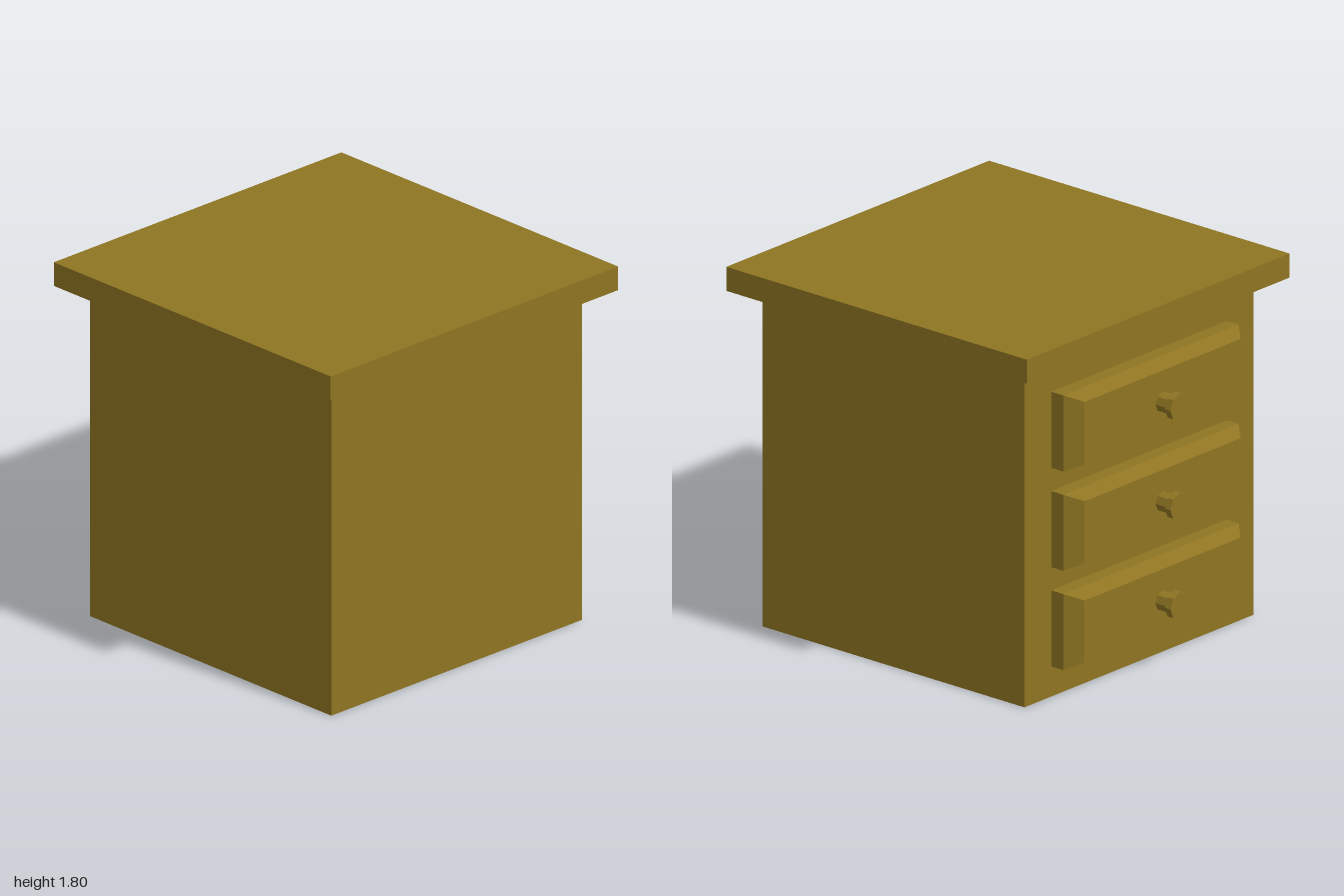
import * as THREE from 'three';

const wood = new THREE.MeshStandardMaterial({ color: 0x8f7522, flatShading: true });

// Box whose horizontal rows follow tiers of [height, halfWidth, halfDepth]
function tieredBox(tiers) {
  const n = tiers.length - 1;
  const geo = new THREE.BoxGeometry(2, n, 2, 1, n, 1);
  const pos = geo.attributes.position;
  for (let i = 0; i < pos.count; i++) {
    const [h, hw, hd] = tiers[Math.round(pos.getY(i) + n / 2)];
    pos.setXYZ(i, pos.getX(i) * hw, h, pos.getZ(i) * hd);
  }
  const flat = geo.toNonIndexed();
  flat.computeVertexNormals();
  return flat;
}

function addPart(parent, name, geometry, y = 0, z = 0) {
  const mesh = new THREE.Mesh(geometry, wood);
  mesh.name = name;
  mesh.position.set(0, y, z);
  parent.add(mesh);
  return mesh;
}

// Drawer front with an octagonal knob, built upward and then turned to face -z
function createDrawer() {
  const drawer = new THREE.Group();
  addPart(drawer, 'drawerFront', tieredBox([[0, 0.622, 0.19], [0.075, 0.622, 0.19], [0.147, 0.553, 0.156]]));
  addPart(drawer, 'knobStem', new THREE.CylinderGeometry(0.05, 0.05, 0.073, 8), 0.1835);
  addPart(drawer, 'knobHead', new THREE.CylinderGeometry(0.068, 0.068, 0.035, 8), 0.2375);
  drawer.rotation.x = -Math.PI / 2;
  return drawer;
}

export function createModel() {
  const model = new THREE.Group();
  model.name = 'drawerCabinet';
  const centreZ = 0.0675;

  // Plain carcass and overhanging top with a sloped underside
  addPart(model, 'cabinetBody', tieredBox([[0, 0.8125, 0.8125], [1.63, 0.8125, 0.8125]]), 0, centreZ);
  addPart(model, 'cabinetTop', tieredBox([[1.63, 0.8125, 0.8125], [1.68, 0.9325, 0.9325], [1.8, 0.9325, 0.9325]]), 0, centreZ);

  // Three stacked drawers
  for (let i = 0; i < 3; i++) {
    const drawer = createDrawer();
    drawer.name = `drawer${i + 1}`;
    drawer.position.set(0, 0.34 + i * 0.496, -0.745);
    model.add(drawer);
  }
  return model;
}
